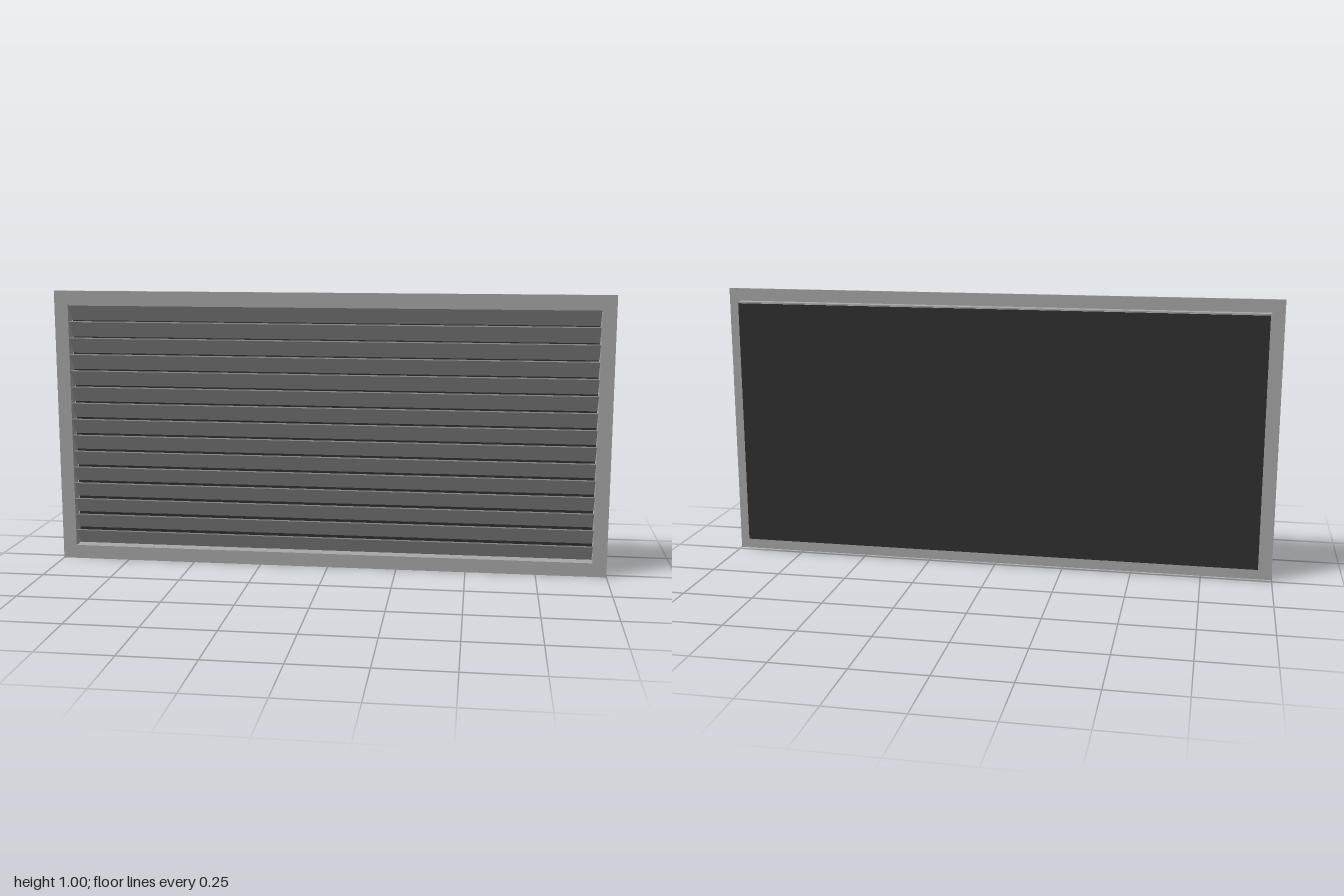
import * as THREE from 'three';

const grey = new THREE.MeshStandardMaterial({ color: 0xa8a8a8 });
grey.name = 'aluminium grey';
const dark = new THREE.MeshStandardMaterial({ color: 0x303030 });
dark.name = 'mesh black';

const HALF_W = 0.95;   // half width of the opening
const LOW = 0.05, HIGH = 0.95;
const FRONT = 0.018, BACK = -0.02;   // depth range of the collar and slats

// Rectangular ring around the opening, widened by border, from z to z + depth
function ring(name, border, z, depth) {
  const rect = (S, b) => new S([
    new THREE.Vector2(-HALF_W - b, LOW - b), new THREE.Vector2(HALF_W + b, LOW - b),
    new THREE.Vector2(HALF_W + b, HIGH + b), new THREE.Vector2(-HALF_W - b, HIGH + b),
  ]);
  const shape = rect(THREE.Shape, border);
  shape.holes.push(rect(THREE.Path, 0));
  const geometry = new THREE.ExtrudeGeometry(shape, { depth, bevelEnabled: false });
  const mesh = new THREE.Mesh(geometry.translate(0, 0, z), grey);
  mesh.name = name;
  return mesh;
}

export function createModel() {
  const group = new THREE.Group();
  group.name = 'louvreVent';

  // Wide front flange and the thin collar behind it
  group.add(ring('flange', 0.05, FRONT, 0.008));
  group.add(ring('collar', 0.005, BACK, FRONT - BACK));

  // Slanted slats, front edge high and rear edge low
  const count = 15, pitch = (HIGH - LOW) / count, t = 0.004;
  const profile = new THREE.Shape([
    new THREE.Vector2(-FRONT, 0), new THREE.Vector2(-FRONT, -t),
    new THREE.Vector2(-BACK, -pitch), new THREE.Vector2(-BACK, t - pitch),
  ]);
  const slatGeometry = new THREE.ExtrudeGeometry(profile, { depth: 2 * HALF_W, bevelEnabled: false })
    .rotateY(Math.PI / 2).translate(-HALF_W, 0, 0);
  const slats = new THREE.Group();
  slats.name = 'slats';
  for (let i = 0; i < count; i++) {
    const slat = new THREE.Mesh(slatGeometry, grey);
    slat.name = 'slat';
    slat.position.y = HIGH - i * pitch;
    slats.add(slat);
  }
  group.add(slats);

  // Dark insect screen just behind the collar
  const screen = new THREE.Mesh(new THREE.BoxGeometry(2 * HALF_W, HIGH - LOW, 0.002), dark);
  screen.name = 'rearScreen';
  screen.position.set(0, 0.5, -0.025);
  group.add(screen);

  return group;
}
